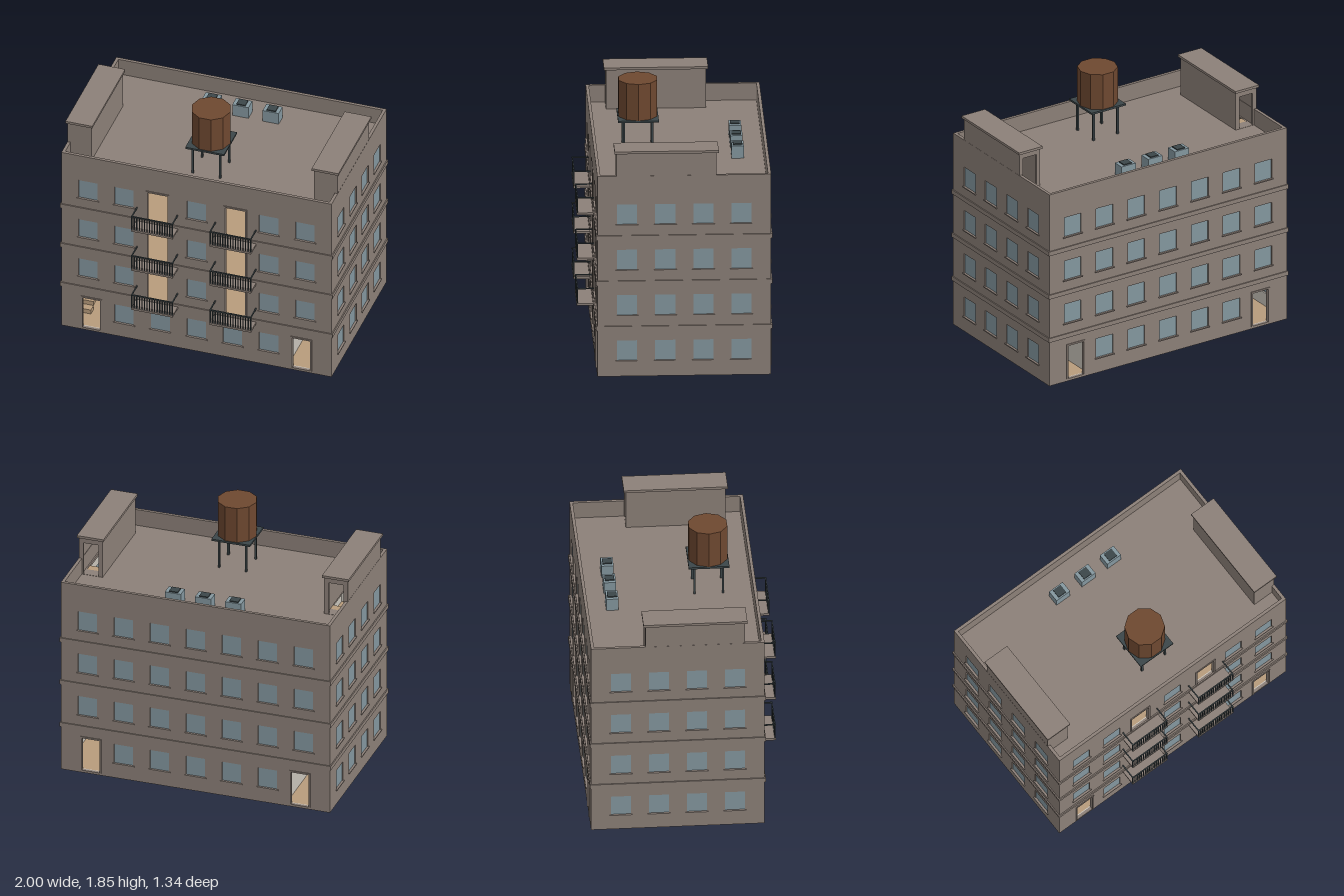
import * as THREE from 'three';

const mat = (name, color, side = THREE.FrontSide) => {
  const m = new THREE.MeshStandardMaterial({ color, side });
  m.name = name;
  return m;
};

export function createModel() {
  const stone = mat('stone', 0x8c8078);
  const glass = mat('glass', 0x84979f);
  const plaster = mat('plaster', 0xcac5bc);
  const timberFloor = mat('timber floor', 0xb89c7c);
  const metal = mat('dark metal', 0x3c4649);
  const wood = mat('tank wood', 0x6e4830);

  const W = 1.98, D = 1.21, ZC = -0.055, TOP = 1.47, WALL = 0.028;
  const STOREY = 0.333, FLOOR = 0.015, ROOF = FLOOR + 4 * STOREY;
  const STAIR = { x: 0.893, w: 0.13, z0: 0.38, z1: -0.2 };

  const root = new THREE.Group();
  root.name = 'apartmentBuilding';

  const add = (parent, name, geo, material, x = 0, y = 0, z = 0) => {
    const m = new THREE.Mesh(geo, material);
    m.name = name;
    m.position.set(x, y, z);
    parent.add(m);
    return m;
  };
  const box = (parent, name, material, w, h, d, x, y, z) =>
    add(parent, name, new THREE.BoxGeometry(w, h, d), material, x, y, z);
  const group = (parent, name, x = 0, y = 0, z = 0) => {
    const g = new THREE.Group();
    g.name = name;
    g.position.set(x, y, z);
    parent.add(g);
    return g;
  };

  // Flat panel with rectangular holes; each rectangle is given by centre x, bottom y, width, height
  const trace = (path, r) => {
    const a = r.x - r.w / 2, b = r.x + r.w / 2, c = r.y, d = r.y + r.h;
    path.moveTo(a, c).lineTo(b, c).lineTo(b, d).lineTo(a, d).closePath();
    return path;
  };
  const panel = (rect, holes, depth) => {
    const s = trace(new THREE.Shape(), rect);
    holes.forEach(h => s.holes.push(trace(new THREE.Path(), h)));
    return new THREE.ExtrudeGeometry(s, { depth, bevelEnabled: false });
  };

  const windowAt = (x, k) => ({ x, y: 0.115 + k * STOREY, w: 0.14, h: 0.148, glazed: true });
  const doorAt = (x, k, w) => ({ x, y: FLOOR + k * STOREY + 0.002, w, h: 0.256 });

  // Three-sided surround of an open doorway
  const doorFrame = (parent, o) => {
    for (const s of [-1, 1])
      box(parent, 'doorJamb', stone, 0.012, o.h, 0.03, o.x + s * (o.w / 2 + 0.004), o.y + o.h / 2, -0.009);
    box(parent, 'doorLintel', stone, o.w + 0.02, 0.012, 0.03, o.x, o.y + o.h + 0.004, -0.009);
  };

  // Outer wall with its plaster lining, glazing, sills and door frames; outer face at local z = 0
  const wall = (name, width, openings, x, z, turn) => {
    const g = group(root, name, x, 0, z);
    g.rotation.y = turn;
    add(g, 'facade', panel({ x: 0, y: 0, w: width, h: TOP }, openings, 0.022), stone, 0, 0, -0.022);
    add(g, 'lining', panel({ x: 0, y: 0, w: width - 0.05, h: ROOF - 0.02 }, openings, 0.006),
      plaster, 0, 0, -WALL);
    for (const o of openings) {
      if (!o.glazed) { doorFrame(g, o); continue; }
      box(g, 'windowPane', glass, o.w, o.h, 0.008, o.x, o.y + o.h / 2, -0.012);
      box(g, 'windowSill', stone, 0.16, 0.008, 0.018, o.x, o.y - 0.004, -0.001);
    }
  };

  const columns = [-3, -2, -1, 0, 1, 2, 3].map(i => i * 0.265);
  const frontOpenings = [], backOpenings = [], sideOpenings = [];
  for (let k = 0; k < 4; k++) {
    columns.forEach((x, i) => {
      const end = i === 0 || i === 6, balcony = i === 2 || i === 4;
      if (k === 0 && end) {
        const d = doorAt(Math.sign(x) * 0.769, 0, 0.135);
        frontOpenings.push(d);
        backOpenings.push(d);
        return;
      }
      backOpenings.push(windowAt(x, k));
      frontOpenings.push(k > 0 && balcony ? doorAt(Math.sign(x) * 0.285, k, 0.15) : windowAt(x, k));
    });
    for (const i of [-1.5, -0.5, 0.5, 1.5]) sideOpenings.push(windowAt(i * 0.265, k));
  }
  wall('frontWall', W, frontOpenings, 0, ZC + D / 2, 0);
  wall('backWall', W, backOpenings, 0, ZC - D / 2, Math.PI);
  wall('leftWall', D - 0.044, sideOpenings, W / 2, ZC, Math.PI / 2);
  wall('rightWall', D - 0.044, sideOpenings, -W / 2, ZC, -Math.PI / 2);

  // Floors and roof, with stairwell holes at both ends
  const slab = (name, material, top, thick) => {
    const wells = [-1, 1].map(s => ({ x: s * STAIR.x, y: -STAIR.z0, w: STAIR.w, h: STAIR.z0 - STAIR.z1 }));
    const geo = panel({ x: 0, y: -ZC - D / 2 + 0.02, w: W - 0.04, h: D - 0.04 }, wells, thick);
    add(root, name, geo.rotateX(-Math.PI / 2), material, 0, top - thick, 0);
  };
  box(root, 'baseSlab', stone, W - 0.002, 0.01, D - 0.002, 0, 0.005, ZC);
  box(root, 'groundFloor', timberFloor, W - 0.04, 0.006, D - 0.04, 0, 0.012, ZC);
  for (let k = 1; k < 4; k++) slab('upperFloor', timberFloor, FLOOR + k * STOREY, 0.012);
  slab('roofDeck', stone, ROOF, 0.02);

  // Partitions and staircases
  for (const s of [-1, 1]) {
    for (let k = 0; k < 4; k++) {
      const y = FLOOR + k * STOREY, mid = y + STOREY / 2 - 0.006;
      box(root, 'stairHallPartition', plaster, 0.012, STOREY - 0.014, D - 0.06, s * 0.66, mid, ZC);
      box(root, 'roomPartition', plaster, 0.42, STOREY - 0.014, 0.012, s * 0.445, mid, 0);
      const steps = 10, run = (STAIR.z0 - STAIR.z1) / steps;
      for (let i = 0; i < steps; i++) {
        const h = STOREY / steps;
        box(root, 'stairStep', timberFloor, STAIR.w - 0.004, h, run,
          s * STAIR.x, y + (i + 0.5) * h, STAIR.z0 - (i + 0.5) * run);
      }
    }
  }

  // Horizontal bands around the building at each upper floor
  for (let k = 1; k < 4; k++) {
    const y = 0.02 + k * STOREY, h = 0.032;
    for (const s of [-1, 1]) {
      box(root, 'stringCourse', stone, W + 0.016, h, 0.01, 0, y, ZC + s * (D / 2 + 0.003));
      box(root, 'stringCourse', stone, 0.01, h, D, s * (W / 2 + 0.003), y, ZC);
    }
  }

  // Balconies with barred railings
  const balcony = (x, y) => {
    const g = group(root, 'balcony', x, y, 0.55);
    const w = 0.305, d = 0.12, rail = 0.112;
    box(g, 'balconySlab', stone, w, 0.016, d, 0, -0.008, d / 2);
    box(g, 'frontRail', metal, w, 0.008, 0.008, 0, rail - 0.004, d - 0.005);
    for (const s of [-1, 1])
      box(g, 'sideRail', metal, 0.008, 0.008, d, s * (w / 2 - 0.004), rail - 0.004, d / 2);
    for (let i = 0; i <= 16; i++)
      box(g, 'railingBar', metal, 0.007, rail, 0.007, (i / 16 - 0.5) * (w - 0.008), rail / 2, d - 0.005);
  };
  for (let k = 1; k < 4; k++)
    for (const s of [-1, 1]) balcony(s * 0.287, FLOOR + k * STOREY + 0.002);

  // Rooftop stair houses, open at the back
  for (const s of [-1, 1]) {
    const g = group(root, 'stairHouse', s * 0.902, ROOF, 0.0675);
    const w = 0.174, h = 0.287, d = 0.695, t = 0.018;
    for (const e of [-1, 1])
      box(g, 'stairHouseSide', stone, t, h, d, e * (w - t) / 2, h / 2, 0);
    box(g, 'stairHouseFront', stone, w - 2 * t, h, t, 0, h / 2, (d - t) / 2);
    const door = { x: 0, y: 0.002, w: 0.11, h: 0.245 };
    add(g, 'stairHouseBack', panel({ x: 0, y: 0, w: w - 2 * t, h }, [door], t), stone, 0, 0, -d / 2);
    box(g, 'stairHouseCap', stone, 0.196, 0.018, 0.725, 0, h + 0.009, 0);
  }

  // Water tank on its stand
  const tower = group(root, 'waterTower', 0, 0, 0.228);
  for (const x of [-0.1, 0.1])
    for (const z of [-0.1, 0.1])
      box(tower, 'towerLeg', metal, 0.014, 1.575 - ROOF, 0.014, x, (1.575 + ROOF) / 2, z);
  box(tower, 'towerPlatform', metal, 0.284, 0.014, 0.284, 0, 1.576, 0);
  const tankGeo = new THREE.CylinderGeometry(0.141, 0.141, 0.267, 10).rotateY(Math.PI / 10).toNonIndexed();
  tankGeo.computeVertexNormals();
  add(tower, 'waterTank', tankGeo, wood, 0, 1.7165, 0);

  // Rooftop cooling units with dark fan grilles
  for (const x of [-0.222, 0, 0.222]) {
    const g = group(root, 'coolingUnit', x, ROOF, -0.457);
    box(g, 'unitCase', glass, 0.118, 0.09, 0.085, 0, 0.045, 0);
    box(g, 'fanGrille', metal, 0.065, 0.008, 0.065, 0, 0.094, 0);
  }
  return root;
}
